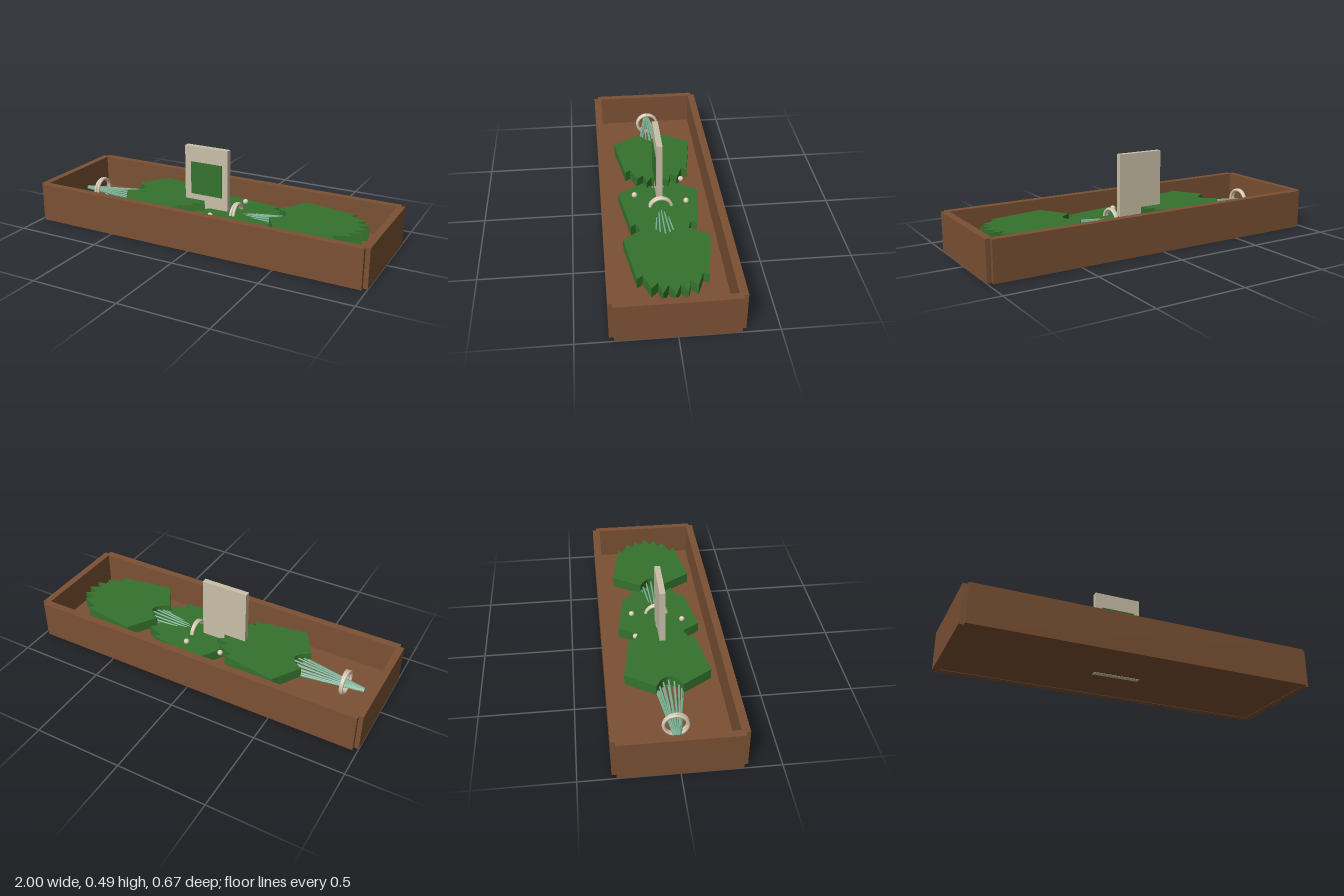
import * as THREE from 'three';

const mat = (name, color) => {
  const m = new THREE.MeshStandardMaterial({ color });
  m.name = name;
  return m;
};

export function createModel() {
  const wood = mat('wood', 0x7a5033);
  const leafGreen = mat('leaf green', 0x34722d);
  const stemGreen = mat('stem green', 0x7fb598);
  const cream = mat('cream', 0xc9bfa8);
  const bone = mat('bone', 0xd8cab4);

  const model = new THREE.Group();
  model.name = 'leafTray';

  const add = (parent, name, geometry, material, x = 0, y = 0, z = 0) => {
    const mesh = new THREE.Mesh(geometry, material);
    mesh.name = name;
    mesh.position.set(x, y, z);
    parent.add(mesh);
    return mesh;
  };
  // Box given by its minimum and maximum corners
  const box = (name, material, a, b) =>
    add(model, name, new THREE.BoxGeometry(b[0] - a[0], b[1] - a[1], b[2] - a[2]), material,
      (a[0] + b[0]) / 2, (a[1] + b[1]) / 2, (a[2] + b[2]) / 2);

  // Tray: floor, long walls and end walls with notched corners
  box('trayFloor', wood, [-0.97, 0.002, -0.3], [0.97, 0.035, 0.3]);
  for (const s of [-1, 1]) {
    add(model, 'longWall', new THREE.BoxGeometry(1.95, 0.22, 0.043), wood, 0, 0.11, s * 0.3115);
    add(model, 'endWall', new THREE.BoxGeometry(0.04, 0.22, 0.62), wood, s * 0.98, 0.11, 0);
  }

  // Upright plaque with a green panel on its front
  box('plaque', cream, [-0.19, 0, -0.015], [0.08, 0.49, 0.018]);
  box('plaquePanel', leafGreen, [-0.15, 0.21, 0.018], [0.045, 0.4, 0.023]);

  // Leaf outline: hollow base, wide shoulders, serrated tip
  const half = [[-0.1, 0.07], [0, 0.23], [0.31, 0.18], [0.285, 0.152], [0.38, 0.115],
    [0.345, 0.08], [0.42, 0.062], [0.365, 0.03]];
  const outline = new THREE.Shape();
  outline.moveTo(-0.1, -0.07);
  half.slice(1).forEach(([x, y]) => outline.lineTo(x, -y));
  outline.lineTo(0.435, 0);
  half.slice().reverse().forEach(([x, y]) => outline.lineTo(x, y));
  outline.quadraticCurveTo(0.04, 0, -0.1, -0.07);
  const leafGeometry = new THREE.ExtrudeGeometry(outline,
    { depth: 0.06, bevelEnabled: false, curveSegments: 8 });
  leafGeometry.rotateX(-Math.PI / 2);

  // Thin straight rod between two points
  const rod = (parent, name, a, b, r, material) => {
    const dir = b.clone().sub(a);
    const mesh = add(parent, name, new THREE.CylinderGeometry(r, r, dir.length(), 6), material);
    mesh.position.copy(a).add(b).multiplyScalar(0.5);
    mesh.quaternion.setFromUnitVectors(new THREE.Vector3(0, 1, 0), dir.normalize());
  };

  // Three leaf bundles, the middle one tucked lower
  [[-0.46, 0], [0, -0.04], [0.46, 0]].forEach(([x, y]) => {
    const bundle = new THREE.Group();
    bundle.name = 'leafBundle';
    bundle.position.set(x, y, 0);
    model.add(bundle);
    add(bundle, 'leaf', leafGeometry, leafGreen, 0, 0.115, 0);

    // Stems spreading from the tie towards the leaf
    const count = 16;
    for (let i = 0; i < count; i++) {
      const t = (i / count) * Math.PI * 2;
      const c = Math.cos(t), s = Math.sin(t);
      rod(bundle, 'stem', new THREE.Vector3(-0.44, 0.113 + 0.006 * s, 0.01 * c),
        new THREE.Vector3(-0.03, 0.125 + 0.025 * s, 0.078 * c), 0.005, stemGreen);
    }

    // Double-wound tie ring
    for (const dx of [-0.006, 0.006]) {
      const ring = add(bundle, 'tieRing', new THREE.TorusGeometry(0.062, 0.009, 8, 24), bone,
        -0.33 + dx, 0.122, 0);
      ring.rotation.y = Math.PI / 2 + dx * 8;
    }
  });

  // Small beads resting on the middle leaf
  for (const [x, z] of [[-0.1, -0.14], [0.115, -0.145], [0.035, 0.14]]) {
    add(model, 'bead', new THREE.SphereGeometry(0.016, 12, 8), bone, x, 0.148, z);
  }

  return model;
}
